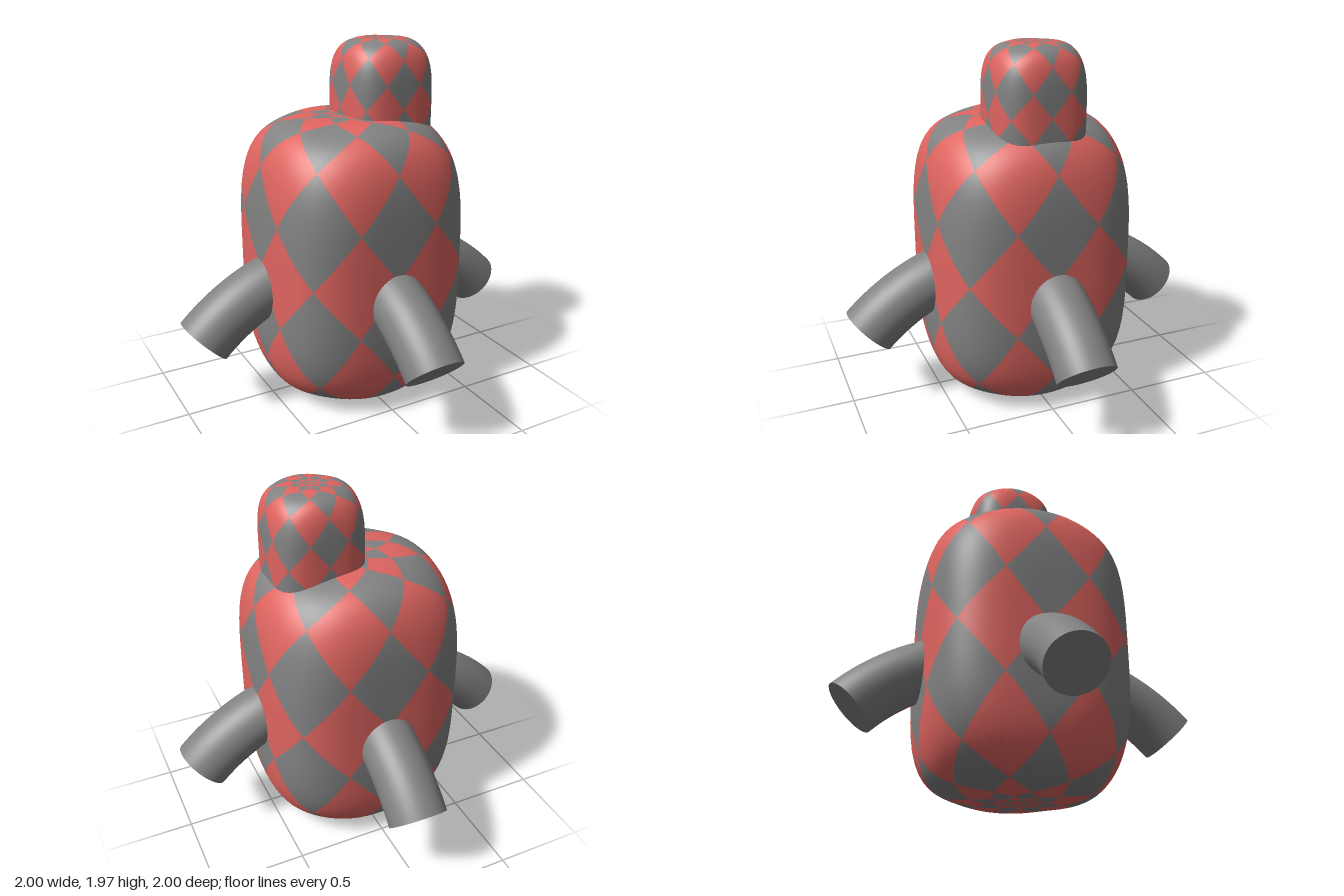
import * as THREE from 'three';

const red = new THREE.MeshStandardMaterial({ color: 0xdf6560 });
red.name = 'coral red';
const grey = new THREE.MeshStandardMaterial({ color: 0x828282 });
grey.name = 'mid grey';

const COLUMNS = 16;   // half-diamond steps around
const ROW = 0.469;    // diamond row step, stretched towards the poles
const LAST = 8;       // rows from here on collapse to the pole
const SUB = 8;        // subdivisions per diamond side
const ROUND = 3.4;    // squareness of the horizontal section

// Squareness of the upright section: boxy on the four sides, softer on the corners
const upright = (x, z) => 4.1 + 0.6 * Math.cos(4 * Math.atan2(x, z));

// Size of a direction relative to the unit rounded box
function boxNorm(x, y, z) {
  const m = upright(x, z);
  const h = (Math.abs(x) ** ROUND + Math.abs(z) ** ROUND) ** (1 / ROUND);
  return (h ** m + Math.abs(y) ** m) ** (1 / m);
}

// Point and normal of the rounded-box egg at a lattice position
function surfacePoint(col, row, a, b) {
  const side = Math.sign(row);
  if (Math.abs(row) >= LAST - 1e-6) return { p: [0, side * b, 0], n: [0, side, 0] };
  const u = (col / COLUMNS) * Math.PI * 2;
  const d = [Math.sin(u) / a, Math.sinh(row * ROW) / b, Math.cos(u) / a];
  const k = 1 / boxNorm(...d);
  const q = d.map((v) => v * k);
  const e = 1e-4;
  const slope = [0, 1, 2].map((i) => {
    const hi = q.slice(), lo = q.slice();
    hi[i] += e;
    lo[i] -= e;
    return boxNorm(...hi) - boxNorm(...lo);
  });
  const n = new THREE.Vector3(slope[0] / a, slope[1] / b, slope[2] / a).normalize();
  return { p: [q[0] * a, q[1] * b, q[2] * a], n: n.toArray() };
}

// Egg covered in diamonds, alternating colour by column
function diamondEgg(name, a, b) {
  const pos = [], nor = [], idx = [[], []];
  for (let c = 0; c < COLUMNS; c++) {
    for (let r = -LAST; r <= LAST; r++) {
      if ((c + r) % 2 === 0) continue;
      const base = pos.length / 3;
      for (let i = 0; i <= SUB; i++) {
        for (let j = 0; j <= SUB; j++) {
          const s = surfacePoint(c + (i - j) / SUB, r - 1 + (i + j) / SUB, a, b);
          pos.push(...s.p);
          nor.push(...s.n);
        }
      }
      const list = idx[c % 2];
      for (let i = 0; i < SUB; i++) {
        for (let j = 0; j < SUB; j++) {
          const q = base + i * (SUB + 1) + j;
          const w = q + SUB + 1;
          list.push(q, w, w + 1, q, w + 1, q + 1);
        }
      }
    }
  }
  const g = new THREE.BufferGeometry();
  g.setAttribute('position', new THREE.Float32BufferAttribute(pos, 3));
  g.setAttribute('normal', new THREE.Float32BufferAttribute(nor, 3));
  g.setIndex(idx[0].concat(idx[1]));
  g.addGroup(0, idx[0].length, 0);
  g.addGroup(idx[0].length, idx[1].length, 1);
  const mesh = new THREE.Mesh(g, [grey, red]);
  mesh.name = name;
  return mesh;
}

// Curved tube that leaves the body level and ends sloping down at 45 degrees
function makeLeg(name, turn) {
  const R = 1.13, r = 0.157;
  const bend = new THREE.Group();
  const tube = new THREE.Mesh(new THREE.TorusGeometry(R, r, 40, 24, Math.PI / 4), grey);
  tube.name = 'legTube';
  const end = new THREE.Mesh(new THREE.CircleGeometry(r, 40).rotateX(Math.PI / 2), grey);
  end.name = 'legEnd';
  end.position.x = R;
  bend.add(tube, end);
  bend.rotation.z = Math.PI / 4;
  bend.position.set(0.888 - R * Math.SQRT1_2, 0.428 - R * Math.SQRT1_2, 0);
  const leg = new THREE.Group();
  leg.name = name;
  leg.rotation.y = turn;
  leg.add(bend);
  return leg;
}

export function createModel() {
  const model = new THREE.Group();

  const body = diamondEgg('body', 0.549, 0.787);
  body.position.y = 0.79;
  model.add(body);

  // Head, off to the left of the body
  const head = diamondEgg('head', 0.247, 0.354);
  head.position.set(0.196, 1.619, 0);
  model.add(head);

  ['leftLeg', 'backLeg', 'rightLeg', 'frontLeg'].forEach((name, i) => {
    model.add(makeLeg(name, (i * Math.PI) / 2));
  });
  return model;
}
